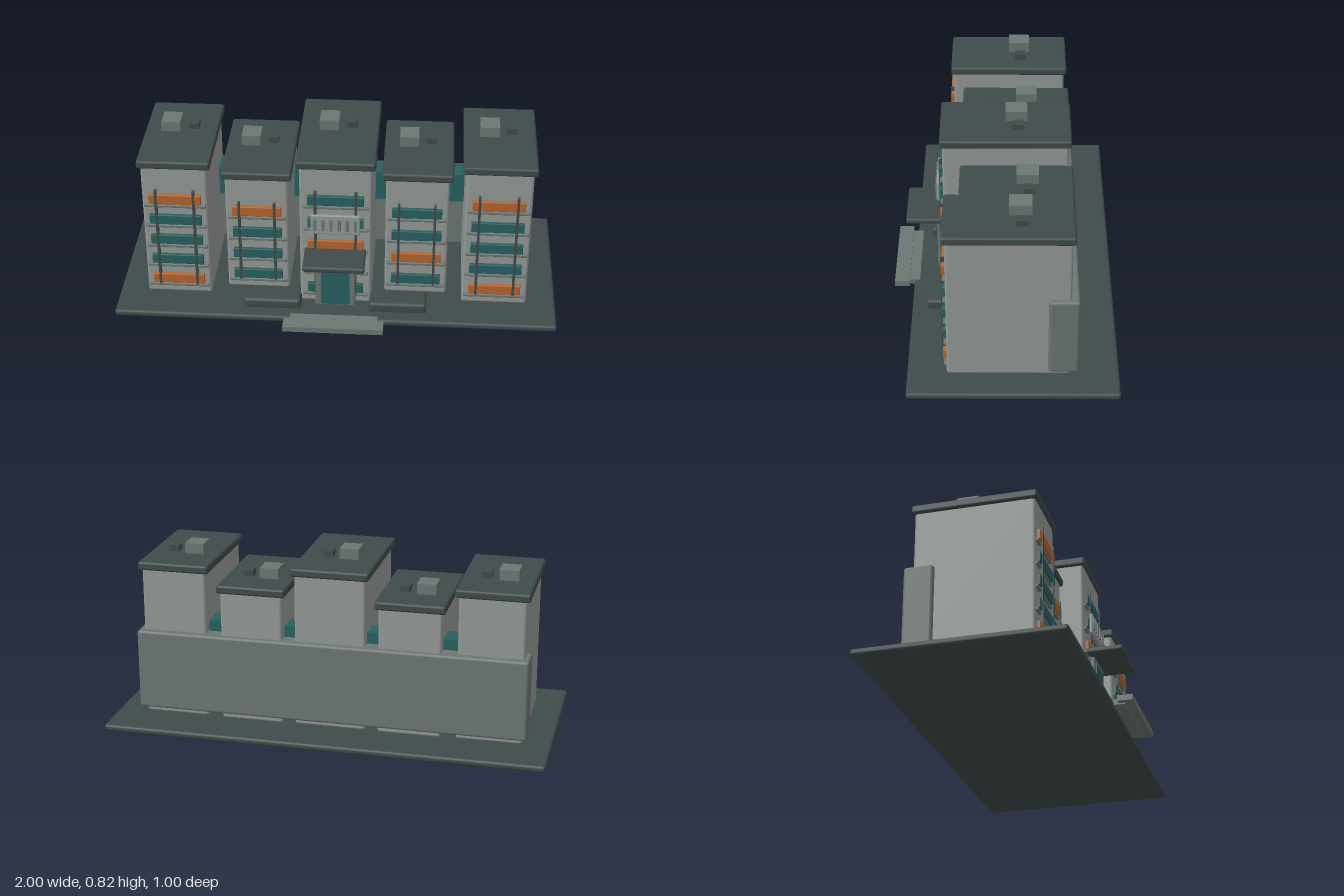
import * as THREE from 'three';
import { RoundedBoxGeometry } from 'three/addons/geometries/RoundedBoxGeometry.js';

const mat = (name, color) => {
  const m = new THREE.MeshStandardMaterial({ color });
  m.name = name;
  return m;
};

export function createModel() {
  const wall = mat('wall grey', 0x939996);
  const stone = mat('stone grey', 0x6c7673);
  const dark = mat('dark slate', 0x3f4b4a);
  const teal = mat('teal', 0x286060);
  const orange = mat('orange', 0xb5652f);

  const model = new THREE.Group();
  model.name = 'apartmentBlock';

  // Box given by its min and max corners; r rounds the edges
  function box(parent, name, material, [x0, x1], [y0, y1], [z0, z1], r = 0) {
    const w = x1 - x0, h = y1 - y0, d = z1 - z0;
    const geo = r ? new RoundedBoxGeometry(w, h, d, 2, r) : new THREE.BoxGeometry(w, h, d);
    const mesh = new THREE.Mesh(geo, material);
    mesh.name = name;
    mesh.position.set((x0 + x1) / 2, (y0 + y1) / 2, (z0 + z1) / 2);
    parent.add(mesh);
    return mesh;
  }
  const span = (c, size) => [c - size / 2, c + size / 2];

  // Ground slab, rear wing and the glazed link between the towers
  box(model, 'groundSlab', dark, [-1, 1], [0, 0.03], [-0.5, 0.41], 0.012);
  box(model, 'rearWing', stone, [-0.893, 0.89], [0.06, 0.43], [-0.323, -0.193], 0.012);
  box(model, 'glazedLink', teal, [-0.6, 0.6], [0.335, 0.48], [-0.245, -0.135]);

  // Tower: body, roof slab, rooftop units and a facade of panels, ledges and posts
  function tower({ name, x, width, top, back, front, panelWidth, firstY, lastY, floors }) {
    const g = new THREE.Group();
    g.name = name;
    model.add(g);
    const roofY = top - 0.038;
    const cz = (back + front) / 2;
    box(g, 'towerBody', wall, span(x, width), [0.03, roofY + 0.012], [back + 0.012, front], 0.012);
    box(g, 'roofSlab', dark, span(x, width + 0.032), [roofY, top], [back, front + 0.012], 0.01);
    box(g, 'roofHousing', stone, span(x - 0.046, 0.087), [top - 0.005, top + 0.048], span(cz - 0.043, 0.097));
    box(g, 'roofVent', dark, span(x + 0.055, 0.044), [top - 0.005, top + 0.028], span(cz - 0.049, 0.05));

    const step = (lastY - firstY) / (floors.length - 1);
    floors.forEach((material, i) => {
      const y = firstY + i * step;
      box(g, 'balconyPanel', material, span(x, panelWidth), span(y, 0.048), [front - 0.005, front + 0.016], 0.004);
      box(g, 'balconyLedge', stone, span(x, panelWidth + 0.042), span(y - 0.037, 0.014), [front - 0.005, front + 0.012], 0.004);
    });
    for (const s of [-1, 1]) {
      box(g, 'facadePost', dark, span(x + s * panelWidth * 0.36, 0.011), [0.085, lastY + 0.045], [front - 0.005, front + 0.019]);
    }
  }

  tower({ name: 'farRightTower', x: -0.723, width: 0.295, top: 0.728, back: -0.3, front: 0.24,
    panelWidth: 0.235, firstY: 0.112, lastY: 0.536, floors: [orange, teal, teal, teal, orange] });
  tower({ name: 'innerRightTower', x: -0.364, width: 0.284, top: 0.648, back: -0.308, front: 0.18,
    panelWidth: 0.222, firstY: 0.112, lastY: 0.45, floors: [teal, teal, teal, orange] });
  tower({ name: 'centreTower', x: -0.002, width: 0.322, top: 0.77, back: -0.303, front: 0.272,
    panelWidth: 0.25, firstY: 0.113, lastY: 0.577, floors: [teal, teal, orange, teal, teal] });
  tower({ name: 'innerLeftTower', x: 0.358, width: 0.284, top: 0.668, back: -0.308, front: 0.18,
    panelWidth: 0.224, firstY: 0.113, lastY: 0.467, floors: [teal, orange, teal, teal] });
  tower({ name: 'farLeftTower', x: 0.718, width: 0.295, top: 0.75, back: -0.3, front: 0.24,
    panelWidth: 0.235, firstY: 0.112, lastY: 0.557, floors: [orange, teal, teal, teal, orange] });

  // Entrance: surround, door, canopy and steps
  const entrance = new THREE.Group();
  entrance.name = 'entrance';
  model.add(entrance);
  box(entrance, 'doorSurround', stone, [-0.092, 0.088], [0.03, 0.305], [0.265, 0.305], 0.006);
  box(entrance, 'door', teal, [-0.066, 0.062], [0.04, 0.28], [0.3, 0.309]);
  box(entrance, 'canopy', dark, [-0.14, 0.135], [0.301, 0.328], [0.275, 0.444], 0.01);
  box(entrance, 'upperStep', stone, [-0.2, 0.195], [0.01, 0.034], [0.385, 0.46]);
  box(entrance, 'lowerStep', stone, [-0.227, 0.223], [0.016, 0.042], [0.432, 0.5]);

  // Louvred plate over the entrance
  box(entrance, 'louvrePlate', wall, [-0.112, 0.108], [0.413, 0.511], [0.288, 0.303], 0.005);
  for (let i = 0; i < 6; i++) {
    box(entrance, 'louvreBar', stone, span(-0.092 + i * 0.036, 0.014), [0.435, 0.49], [0.3, 0.309]);
  }

  // Planters on both sides of the entrance
  for (const s of [-1, 1]) {
    box(model, s < 0 ? 'rightPlanter' : 'leftPlanter', dark, span(s * 0.285 - 0.003, 0.26), [0.02, 0.074], [0.228, 0.343], 0.015);
  }

  return model;
}
